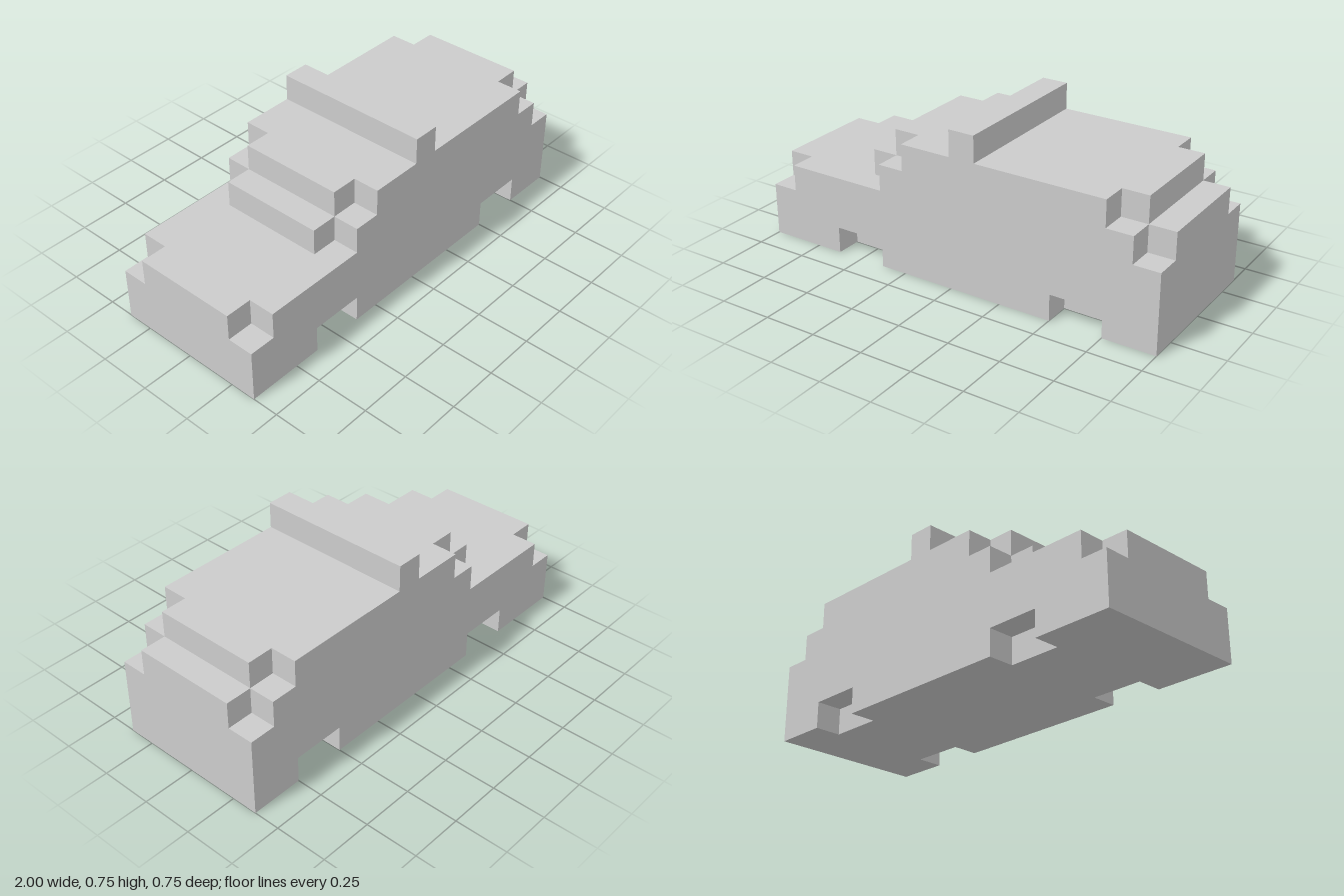
import * as THREE from 'three';

// One block unit; profiles below are given in whole blocks
const U = 0.125;

export function createModel() {
  const group = new THREE.Group();
  group.name = 'blockCar';
  const material = new THREE.MeshStandardMaterial({ color: 0xcccccc, flatShading: true });

  // Extrude a stepped side profile from block z0 over a number of blocks
  function addSlab(name, profile, z0, depth) {
    const shape = new THREE.Shape(profile.map(([x, y]) => new THREE.Vector2(x * U, y * U)));
    const geometry = new THREE.ExtrudeGeometry(shape, { depth: depth * U, bevelEnabled: false });
    const mesh = new THREE.Mesh(geometry, material);
    mesh.name = name;
    mesh.position.z = z0 * U;
    group.add(mesh);
  }

  // Roof ridge, shared by every slab
  const ridge = [[1, 5], [1, 6], [0, 6], [0, 5]];

  // Middle of the body: flat floor, stepped hood, cabin and tail
  addSlab('bodyCore', [
    [-8, 0], [8, 0], [8, 4], [7, 4], [7, 5],
    ...ridge,
    [-3, 5], [-3, 4], [-4, 4], [-4, 3], [-8, 3],
  ], -2, 4);

  // Outer sides: wheel recesses below, corners cut one block further in
  const side = [
    [-8, 0], [-5, 0], [-5, 1], [-3, 1], [-3, 0],
    [4, 0], [4, 1], [6, 1], [6, 0], [8, 0],
    [8, 3], [7, 3], [7, 4], [6, 4], [6, 5],
    ...ridge,
    [-2, 5], [-2, 4], [-3, 4], [-3, 3], [-7, 3], [-7, 2], [-8, 2],
  ];
  addSlab('frontSide', side, 2, 1);
  addSlab('backSide', side, -3, 1);

  return group;
}
